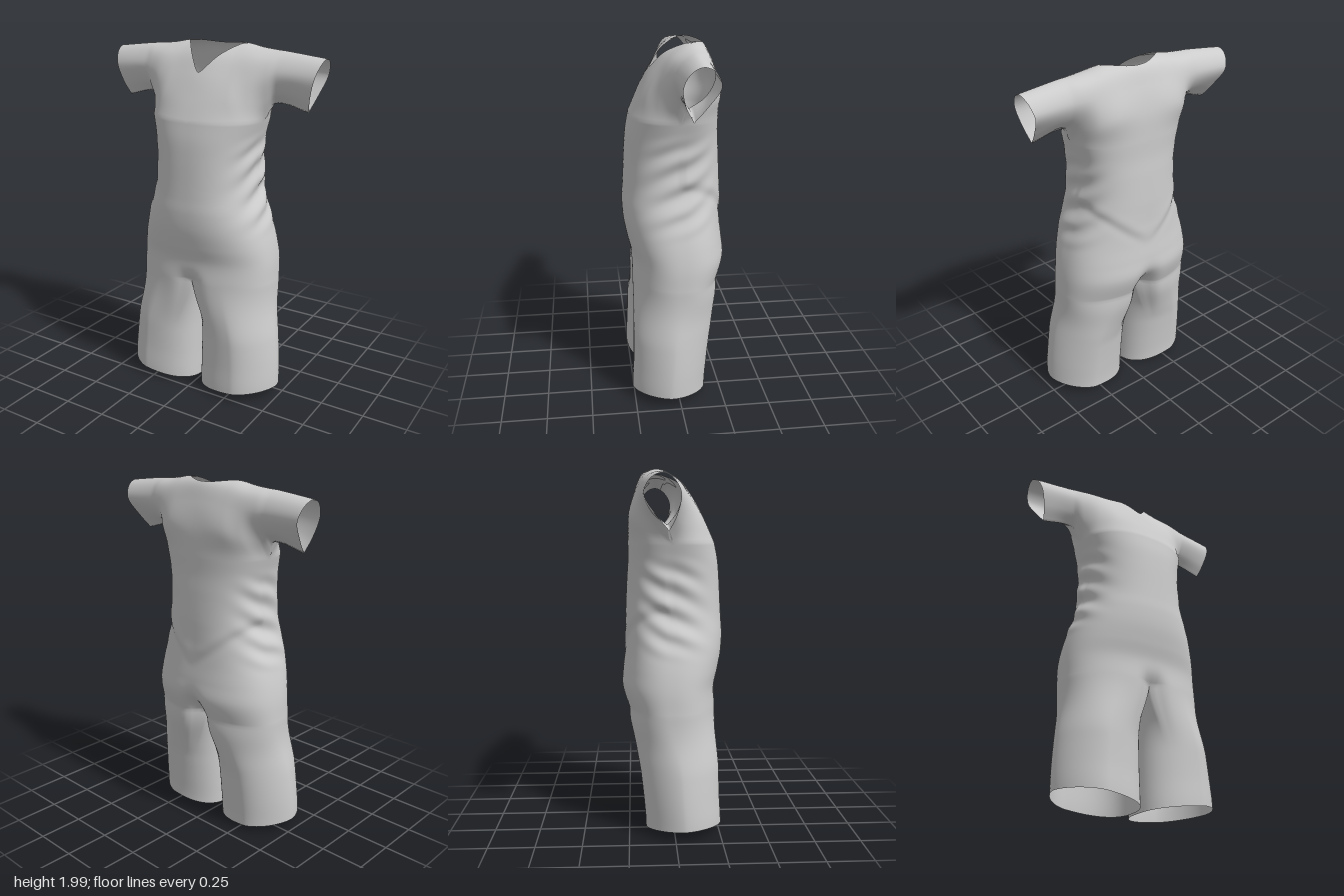
import * as THREE from 'three';

const { lerp, smoothstep, clamp } = THREE.MathUtils;
const CROTCH = 0.68, CHEST = 1.6, SIDE = 0.33, ARMHOLE = 0.37, N = 64;

// Body outline: height, half width, front z, back z
const OUTLINE = [
  [0.04, 0.485, 0.26, -0.157], [0.2, 0.478, 0.252, -0.168], [0.4, 0.456, 0.248, -0.19],
  [0.55, 0.435, 0.247, -0.204], [0.68, 0.422, 0.245, -0.252], [0.8, 0.414, 0.24, -0.288],
  [0.9, 0.397, 0.262, -0.28], [1.0, 0.37, 0.28, -0.268], [1.1, 0.338, 0.285, -0.262],
  [1.18, 0.31, 0.28, -0.262], [1.25, 0.298, 0.276, -0.262], [1.4, 0.292, 0.268, -0.256],
  [1.5, 0.304, 0.259, -0.25], [1.6, SIDE, 0.24, -0.25],
];

// Yoke and sleeve sections: x, then [y, z] from the underside, over the front and top, to the back
const SECTIONS = [
  [0, [1.6, 0.24], [1.72, 0.185], [1.85, 0.117], [1.95, 0.04], [2.0, -0.085], [1.98, -0.165], [1.88, -0.212], [1.75, -0.244], [1.6, -0.25]],
  [0.18, [1.6, 0.21], [1.72, 0.16], [1.84, 0.1], [1.94, 0.022], [1.992, -0.085], [1.965, -0.157], [1.87, -0.207], [1.74, -0.24], [1.6, -0.24]],
  [0.28, [1.6, 0.15], [1.71, 0.108], [1.83, 0.083], [1.93, 0.022], [1.975, -0.082], [1.945, -0.157], [1.855, -0.196], [1.72, -0.2], [1.6, -0.18]],
  [ARMHOLE, [1.6, -0.015], [1.705, 0.034], [1.83, 0.05], [1.925, 0.008], [1.966, -0.078], [1.935, -0.15], [1.845, -0.178], [1.71, -0.115], [1.6, -0.015]],
  [0.42, [1.69, -0.04], [1.755, 0.01], [1.85, 0.033], [1.93, -0.01], [1.963, -0.075], [1.93, -0.14], [1.85, -0.17], [1.755, -0.125], [1.69, -0.04]],
  [0.65, [1.66, -0.04], [1.74, 0], [1.84, 0.017], [1.91, -0.02], [1.937, -0.075], [1.91, -0.135], [1.84, -0.165], [1.74, -0.105], [1.66, -0.04]],
];

// Smooth lookup of one column in a table sorted by its first column
function lookup(table, t, get) {
  let i = 0;
  while (i < table.length - 2 && t > table[i + 1][0]) i++;
  const at = k => table[clamp(k, 0, table.length - 1)];
  const slope = k => (get(at(k + 1)) - get(at(k - 1))) / (at(k + 1)[0] - at(k - 1)[0]);
  const h = at(i + 1)[0] - at(i)[0], s = clamp((t - at(i)[0]) / h, 0, 1);
  const s2 = s * s, s3 = s2 * s;
  const m0 = i === 0 ? 0 : slope(i), m1 = slope(i + 1);
  return (2 * s3 - 3 * s2 + 1) * get(at(i)) + (s3 - 2 * s2 + s) * h * m0
    + (3 * s2 - 2 * s3) * get(at(i + 1)) + (s3 - s2) * h * m1;
}
const outline = y => [1, 2, 3].map(k => lookup(OUTLINE, y, r => r[k]));
const soft = (v, e) => Math.sign(v) * Math.abs(v) ** e;

// Half ring of the torso: angle 0 is front centre, PI is back centre
function torsoPoint(y, a) {
  const [w, f, b] = outline(y), zc = -0.015;
  const s = Math.max(Math.sin(a), 0) < 1e-9 ? 0 : Math.sin(a);
  const c = Math.abs(Math.cos(a)) < 1e-9 ? 0 : Math.cos(a);
  let x = w * soft(s, 0.85);
  // The upper back is flatter than the rest
  const power = c < 0 ? lerp(0.82, 0.7, smoothstep(y, 1.2, 1.5)) : 0.85;
  let z = zc + (c > 0 ? f - zc : zc - b) * soft(c, power);
  // Cleft between the legs and the seat
  const cleft = c > 0 ? 0.3 * (1 - smoothstep(y, 0.62, 0.82)) ** 2 : 0.5 * (1 - smoothstep(y, 0.6, 0.95)) ** 2;
  z *= 1 - cleft * Math.exp(-((x / 0.06) ** 2));
  // Loose cloth hanging over a V-shaped fold at the back, and creases at the sides
  const fade = smoothstep(y, 0.95, 1.1) * (1 - smoothstep(y, 1.4, 1.55));
  const d = y - (1.0 + 0.85 * x);
  let fold = c < 0 ? 0.012 * smoothstep(d, -0.04, 0.04) * Math.exp(-Math.max(d, 0) / 0.12) - 0.003 * Math.exp(-((d + 0.04) ** 2) / 0.001) : 0;
  fold += 0.009 * s ** 8 * Math.sin(46 * y + 7 * c);
  x += fold * fade * s;
  z += fold * fade * c;
  return [x, y, z];
}

// Leg ring: N points outside, then M points along the inner thigh
const M = 20;
function legPoint(i, v) {
  const y = lerp(0.04, CROTCH, v), [w, f, b] = outline(y);
  const inner = i > N ? (i - N) / M : 0, a = Math.PI * Math.min(i / N, 1);
  const p = -0.2 * Math.PI + 1.4 * a + 0.6 * Math.PI * inner;
  // Boxy on the inside, tapering to a soft corner at the outer seam
  const cx = 0.6 * w, zc = (f + b) / 2, outer = Math.sin(p) > 0;
  const hw = outer ? w - cx : cx - 0.012, power = outer ? 1.2 : 0.82;
  const low = [cx + hw * soft(Math.sin(p), power), zc + (f - b) / 2 * soft(Math.cos(p), power)];
  const front = torsoPoint(CROTCH, 0), back = torsoPoint(CROTCH, Math.PI);
  const top = i > N ? [0, 0, lerp(back[2], front[2], inner)] : torsoPoint(CROTCH, a);
  const k = smoothstep(y, 0.34, CROTCH + 0.03) / smoothstep(CROTCH, 0.34, CROTCH + 0.03);
  const x = lerp(low[0], top[0], k), z = lerp(low[1], top[2], k);
  const hem = 0.004 + 0.057 * x / 0.485 + 0.04 * z;
  return [x, lerp(hem, CROTCH, v), z];
}

// Curve over the shoulder; with an angle, its ends fan out to meet the torso ring
const FAN = [0, 0.7, 1, 1, 1, 1, 1, 0.7, 0];
function arch(x, a) {
  const pts = FAN.map((_, k) => new THREE.Vector3(x,
    lookup(SECTIONS, x, r => r[k + 1][0]), lookup(SECTIONS, x, r => r[k + 1][1])));
  if (a !== null) {
    const front = torsoPoint(CHEST, a), back = torsoPoint(CHEST, Math.PI - a);
    pts.forEach((p, k) => { p.x = lerp(front[0], x, FAN[k]); });
    pts[0].set(...front);
    pts[8].set(...back);
  }
  return new THREE.CatmullRomCurve3(pts);
}
// Position along the arch where the neckline cuts it
function neckCut(curve, x, isFront) {
  if (x >= 0.18) return 0.5;
  const t = x / 0.18, target = isFront ? 0.12 - 0.205 * t ** 1.4 : -0.165 + 0.08 * t * t;
  let lo = isFront ? 0 : 0.5, hi = isFront ? 0.5 : 1;
  for (let n = 0; n < 24; n++) {
    const mid = (lo + hi) / 2;
    if (curve.getPoint(mid).z > target) lo = mid; else hi = mid;
  }
  return lo;
}

export function createModel() {
  const positions = [], ids = new Map(), parts = new Map();
  const vertex = p => {
    const key = p.map(c => Math.round(c * 5000)).join();
    if (!ids.has(key)) {
      ids.set(key, positions.length / 3);
      positions.push(...p);
    }
    return ids.get(key);
  };
  // Adds a grid of cloth and its mirror image, welded to its neighbours
  const sheet = (name, nu, nv, point, paired) => {
    const grid = [];
    for (let i = 0; i <= nu; i++) {
      grid.push([]);
      for (let j = 0; j <= nv; j++) grid[i].push(point(i, j));
    }
    for (const side of [1, -1]) {
      const key = paired ? (side > 0 ? 'left' : 'right') + name : name;
      if (!parts.has(key)) parts.set(key, []);
      const index = parts.get(key);
      const id = grid.map(col => col.map(([x, y, z]) => vertex([x * side, y, z])));
      const tri = (a, b, c) => {
        if (a !== b && b !== c && a !== c) index.push(a, ...(side > 0 ? [b, c] : [c, b]));
      };
      for (let i = 0; i < nu; i++) {
        for (let j = 0; j < nv; j++) {
          tri(id[i][j], id[i + 1][j], id[i + 1][j + 1]);
          tri(id[i][j], id[i + 1][j + 1], id[i][j + 1]);
        }
      }
    }
  };

  sheet('torso', N, 72, (i, j) => torsoPoint(lerp(CROTCH, CHEST, j / 72), Math.PI * i / N));
  sheet('Leg', N + M, 32, (i, j) => legPoint(i, j / 32), true);

  // Shoulder yoke with the V neckline, then the open sleeves
  const half = N / 2, R = 24, S = 20;
  const armhole = arch(ARMHOLE, Math.PI / 2);
  for (const isFront of [true, false]) {
    const end = isFront ? 0 : 1;
    sheet(isFront ? 'frontYoke' : 'backYoke', half, R, (i, j) => {
      const t = (isFront ? i : half - i) / half, x = ARMHOLE * t;
      const curve = arch(x, t * Math.PI / 2);
      return curve.getPoint(lerp(end, neckCut(curve, x, isFront), j / R)).toArray();
    });
    sheet('Sleeve', S, R, (i, j) => {
      const t = (isFront ? i : S - i) / S, u = lerp(end, 0.5, j / R);
      const start = armhole.getPoint(u);
      const p = t === 0 ? start : arch(lerp(ARMHOLE, 0.65, t), null).getPoint(u);
      const cuff = 0.65 - 0.075 * (1.937 - p.y) / 0.277;
      return [lerp(start.x, cuff, t), p.y, p.z];
    }, true);
  }

  // Shared smooth normals, one mesh per part
  const whole = new THREE.BufferGeometry();
  whole.setAttribute('position', new THREE.Float32BufferAttribute(positions, 3));
  whole.setIndex([...parts.values()].flat());
  whole.computeVertexNormals();
  const cloth = new THREE.MeshStandardMaterial({ color: 0xcccccc, side: THREE.DoubleSide });
  const group = new THREE.Group();
  group.name = 'romper';
  for (const [name, index] of parts) {
    const geometry = new THREE.BufferGeometry();
    geometry.setAttribute('position', whole.attributes.position);
    geometry.setAttribute('normal', whole.attributes.normal);
    geometry.setIndex(index);
    const mesh = new THREE.Mesh(geometry, cloth);
    mesh.name = name;
    group.add(mesh);
  }
  return group;
}
